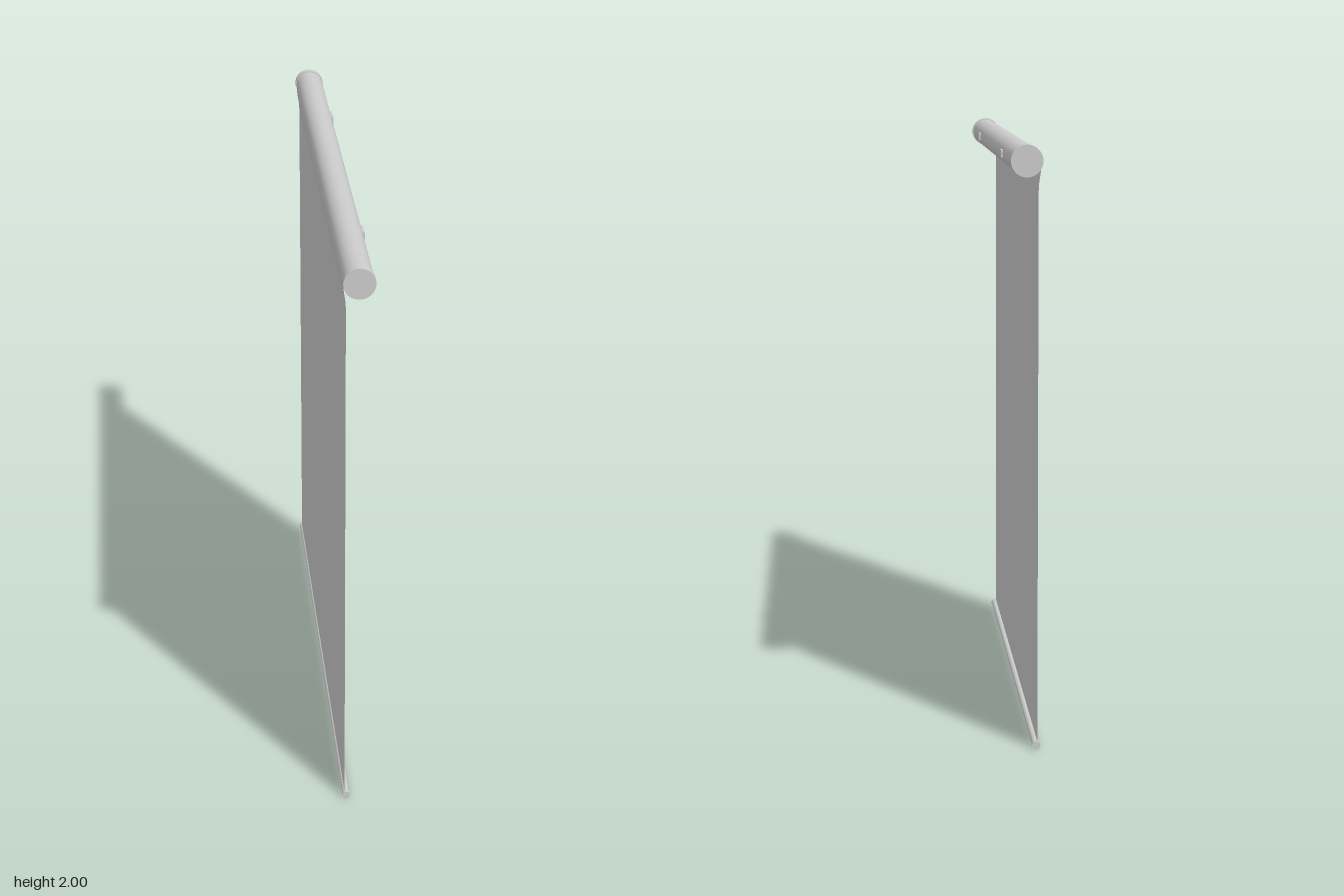
import * as THREE from 'three';

export function createModel() {
  const group = new THREE.Group();
  group.name = 'rollerBlind';
  const mat = new THREE.MeshStandardMaterial({ color: 0xcccccc });
  const thin = new THREE.MeshStandardMaterial({ color: 0xcccccc, side: THREE.DoubleSide });

  const add = (name, geometry, x, y, z, material = mat) => {
    const mesh = new THREE.Mesh(geometry, material);
    mesh.name = name;
    mesh.position.set(x, y, z);
    group.add(mesh);
  };
  // Cylinder lying along z
  const rod = (r, length, sides) => new THREE.CylinderGeometry(r, r, length, sides).rotateX(Math.PI / 2);

  const rollX = -0.002, rollY = 1.948, barX = -0.037, barY = 0.014;

  // Roller tube and bottom weight bar
  add('rollerTube', rod(0.049, 1.95, 48), rollX, rollY, 0);
  add('bottomBar', rod(0.012, 1.92, 24), barX, barY, 0);

  // End caps and mounting clips, mirrored front to back
  for (const side of [1, -1]) {
    add('rollerEndCap', rod(0.052, 0.025, 48), rollX, rollY, side * 0.983);
    add('bottomBarEndCap', rod(0.014, 0.015, 24), barX, barY, side * 0.963);
    add('mountingClip', new THREE.BoxGeometry(0.014, 0.026, 0.066), 0.046, 1.949, side * 0.57);
  }

  // Fabric: leaves the roller tangentially and hangs down to the bar
  const profile = [[-0.0505, 1.945], [-0.05, 1.92], [-0.0465, 1.895], [-0.0435, 1.875],
    [-0.042, 1.85], [-0.042, 0.03], [-0.042, 0.016]];
  const fabric = new THREE.PlaneGeometry(1.92, 1, 1, profile.length - 1).rotateY(-Math.PI / 2);
  const pos = fabric.attributes.position;
  for (let i = 0; i < pos.count; i++) {
    const [x, y] = profile[Math.floor(i / 2)];
    pos.setXY(i, x, y);
  }
  fabric.computeVertexNormals();
  add('fabric', fabric, 0, 0, 0, thin);

  return group;
}
